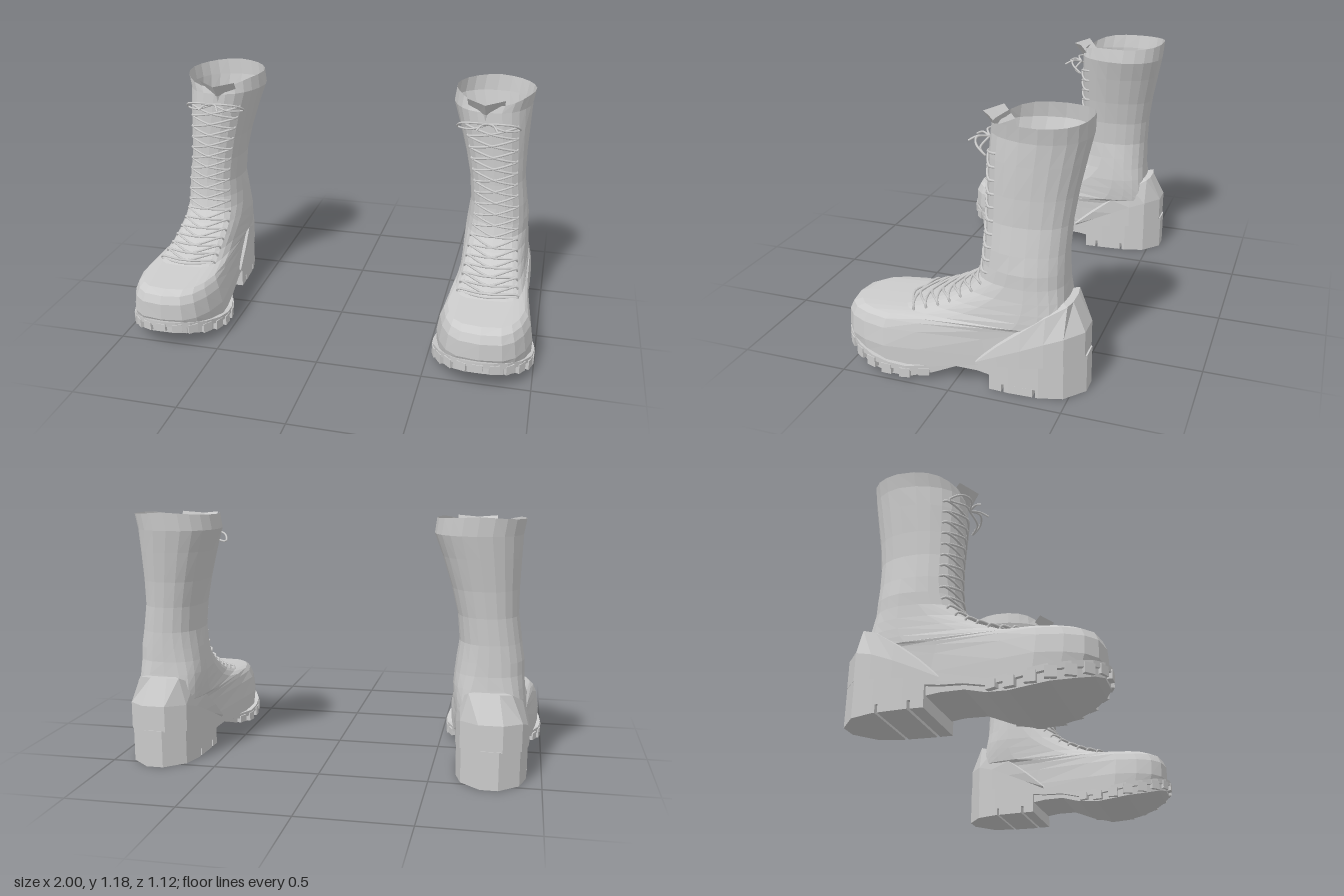
import * as THREE from 'three';

const V = (x, y, z) => new THREE.Vector3(x, y, z);
const material = new THREE.MeshStandardMaterial({ color: 0xcccccc, flatShading: true, side: THREE.DoubleSide });
const laceMaterial = new THREE.MeshStandardMaterial({ color: 0xcccccc });

// Linear lookup in rows sorted by their first column
function lookup(table, k) {
  let i = 0;
  while (i < table.length - 2 && k > table[i + 1][0]) i++;
  const a = table[i], b = table[i + 1];
  const f = THREE.MathUtils.clamp((k - a[0]) / (b[0] - a[0]), 0, 1);
  return a.map((v, n) => v + (b[n] - v) * f);
}

// Surface through rows of points
function loft(name, rows, { closed = true, caps = false } = {}) {
  const n = rows[0].length, pos = [], idx = [];
  rows.forEach(r => r.forEach(p => pos.push(p.x, p.y, p.z)));
  for (let i = 0; i < rows.length - 1; i++) {
    for (let j = 0; j < (closed ? n : n - 1); j++) {
      const k = (j + 1) % n, a = i * n + j, b = i * n + k;
      idx.push(a, b, b + n, a, b + n, a + n);
    }
  }
  if (caps) {
    const e = (rows.length - 1) * n;
    for (let j = 1; j < n - 1; j++) idx.push(0, j + 1, j, e, e + j, e + j + 1);
  }
  const g = new THREE.BufferGeometry();
  g.setAttribute('position', new THREE.Float32BufferAttribute(pos, 3));
  g.setIndex(idx);
  const flat = g.toNonIndexed();
  flat.computeVertexNormals();
  const mesh = new THREE.Mesh(flat, material);
  mesh.name = name;
  return mesh;
}

// Sole: z, half width
const OUTLINE = [[-0.557, 0.04], [-0.48, 0.13], [-0.38, 0.158], [-0.25, 0.165], [-0.1, 0.163], [0, 0.166],
  [0.1, 0.195], [0.2, 0.23], [0.28, 0.238], [0.36, 0.228], [0.44, 0.19], [0.51, 0.13], [0.545, 0.07], [0.558, 0.02]];
// Sole: z, top height, bottom height
const HEIGHTS = [[-0.56, 0.175, 0], [-0.1, 0.115, 0.065], [0, 0.11, 0.065], [0.1, 0.078, 0.03],
  [0.2, 0.072, 0.012], [0.3, 0.085, 0.02], [0.45, 0.115, 0.05], [0.56, 0.148, 0.09]];
const halfWidth = z => lookup(OUTLINE, z)[1];
const soleTop = z => lookup(HEIGHTS, z)[1];
const soleBottom = z => lookup(HEIGHTS, z)[2];
// Centre line, turning slightly outwards at the heel
const centre = z => lookup([[-0.3, 0.772], [0, 0.76]], z)[1];

// Slice of the sole outline between z0 and z1
function slab(name, z0, z1, top, bottom, inset = 0) {
  const zs = [z0, ...OUTLINE.map(o => o[0]).filter(z => z > z0 + 0.004 && z < z1 - 0.004), z1];
  return loft(name, zs.map(z => {
    const w = Math.max(halfWidth(z) - inset, 0.01), t = top(z), b = bottom(z), c = centre(z);
    return [V(c + w, t, z), V(c - w, t, z), V(c - w, b, z), V(c + w, b, z)];
  }), { caps: true });
}

// Upper: y, back z, front z, centre x, half widths at back, middle and front, squareness
const UPPER = [
  [0.06, -0.53, 0.53, 0.762, 0.16, 0.162, 0.236, 3],
  [0.15, -0.53, 0.542, 0.762, 0.16, 0.163, 0.238, 3],
  [0.23, -0.51, 0.541, 0.762, 0.16, 0.164, 0.224, 3],
  [0.268, -0.49, 0.524, 0.762, 0.16, 0.166, 0.208, 3],
  [0.286, -0.48, 0.48, 0.76, 0.16, 0.168, 0.19, 3.3],
  [0.3, -0.475, 0.255, 0.758, 0.16, 0.17, 0.165, 4.4],
  [0.33, -0.47, 0.15, 0.756, 0.16, 0.168, 0.152, 4.2],
  [0.37, -0.465, 0.06, 0.753, 0.16, 0.166, 0.148, 3.8],
  [0.42, -0.46, -0.02, 0.75, 0.159, 0.163, 0.145, 3.2],
  [0.48, -0.455, -0.072, 0.75, 0.156, 0.157, 0.143, 2.6],
  [0.54, -0.455, -0.088, 0.753, 0.152, 0.153, 0.142, 2.4],
  [0.62, -0.455, -0.095, 0.752, 0.14, 0.14, 0.138, 2.3],
  [0.74, -0.462, -0.1, 0.738, 0.136, 0.136, 0.136, 2.3],
  [0.86, -0.478, -0.1, 0.724, 0.15, 0.15, 0.146, 2.3],
  [1.0, -0.505, -0.1, 0.705, 0.174, 0.174, 0.163, 2.3],
  [1.1, -0.525, -0.105, 0.689, 0.194, 0.194, 0.175, 2.3],
  [1.183, -0.53, -0.115, 0.7, 0.195, 0.195, 0.18, 2.3],
];

// Point on the upper at height y; the angle starts at the front
function onUpper(y, angle) {
  const [, zb, zf, xc, wb, wm, wf, p] = lookup(UPPER, y);
  const s = Math.sin(angle), c = Math.cos(angle);
  const u = Math.sign(c) * Math.abs(c) ** (2 / p);
  const z = (zb + zf) / 2 + u * (zf - zb) / 2;
  const w = lookup([[0.1, wb], [0.45, wm], [0.78, wf]], (u + 1) / 2)[1];
  const rim = y > 1.15 ? 0.015 * Math.abs(s) + 0.05 * Math.max(c, 0) ** 3 : 0;
  return V(xc + w * Math.sign(s) * Math.abs(s) ** (2 / p), Math.max(y, soleTop(z) - 0.01) - rim, z);
}

function tube(name, points, radius = 0.0055) {
  const curve = new THREE.CatmullRomCurve3(points);
  const mesh = new THREE.Mesh(new THREE.TubeGeometry(curve, points.length * 5, radius, 6), laceMaterial);
  mesh.name = name;
  return mesh;
}

function buildSole() {
  const g = new THREE.Group();
  g.name = 'sole';
  const weltBottom = z => Math.max(soleTop(z) - 0.026, soleBottom(z) + 0.012);
  g.add(slab('welt', -0.16, 0.558, soleTop, weltBottom));
  g.add(slab('outsole', -0.16, 0.54, z => weltBottom(z) + 0.004, soleBottom, 0.018));
  // Lugs around the front edge
  const half = OUTLINE.filter(o => o[0] >= 0.1).map(([z, w]) => V(w, 0, z));
  const edge = new THREE.CatmullRomCurve3([...half, ...half.map(p => V(-p.x, 0, p.z)).reverse()]);
  const count = 15;
  for (let i = 0; i < count; i++) {
    const t = (i + 0.5) / count, p = edge.getPointAt(t), d = edge.getTangentAt(t);
    const top = soleTop(p.z) - 0.012, bottom = soleBottom(p.z) + 0.006;
    const lug = new THREE.Mesh(new THREE.BoxGeometry(0.047, top - bottom, 0.034), material);
    lug.name = 'lug';
    lug.position.set(centre(p.z) + p.x - 0.015 * Math.sign(p.x) * Math.abs(d.z), (top + bottom) / 2,
      p.z - 0.015 * Math.abs(d.x));
    lug.rotation.y = Math.atan2(-d.z, d.x);
    g.add(lug);
  }
  // Heel block with two grooves underneath
  g.add(slab('heel', -0.557, -0.16, soleTop, () => 0.036));
  for (const [a, b] of [[-0.557, -0.366], [-0.354, -0.228], [-0.215, -0.16]]) {
    g.add(slab('heelTread', a, b, () => 0.037, () => 0));
  }
  return g;
}

// Sloping reinforcement around the back of the foot
function buildHeelCounter() {
  // z, top height, half width at top
  const side = [[-0.1, 0.13, 0.17], [-0.2, 0.215, 0.17], [-0.3, 0.295, 0.163], [-0.4, 0.37, 0.14],
    [-0.48, 0.412, 0.095], [-0.55, 0.412, 0.04]];
  const path = [...side.map(s => [...s, 1]), ...side.map(s => [...s, -1]).reverse()];
  const row = (f, top, lip) => path.map(([z, h, w, s]) => {
    const b = soleTop(z) - 0.005, wide = halfWidth(z) + 0.006;
    return V(centre(z) - (top ? 0.008 : 0) + s * (top ? w - lip : wide), b + (h - b) * f,
      top ? Math.max(z, -0.49) + lip : z);
  });
  return loft('heelCounter', [row(0), row(0.5), row(1, true, 0), row(1, true, 0.03)], { closed: false });
}

function buildLaces() {
  const g = new THREE.Group();
  g.name = 'laces';
  const count = 16;
  const line = angle => {
    const pts = [];
    for (let y = 0.302; y < 1.05; y += 0.025) pts.push(onUpper(y, angle));
    return new THREE.CatmullRomCurve3(pts);
  };
  const left = line(0.8), right = line(-0.8), mid = line(0);
  const lift = (curve, t, d) => {
    const k = mid.getTangentAt(t);
    return curve.getPointAt(t).add(V(0, -k.z * d, k.y * d));
  };
  for (let i = 0; i < count; i++) {
    const a = i / count, b = (i + 1) / count;
    for (const [p, q] of [[left, right], [right, left]]) {
      g.add(tube('lace', [lift(p, a, -0.008), lift(p, a, 0.014), lift(mid, (a + b) / 2, 0.009),
        lift(q, b, 0.014), lift(q, b, -0.008)]));
    }
  }
  g.add(tube('bottomLace', [lift(left, 0, 0), lift(mid, 0, 0.012), lift(right, 0, 0)]));
  // Bow
  const k = V(0.69, 1.05, -0.085);
  const at = (x, y, z) => k.clone().add(V(x, y, z));
  for (const s of [-1, 1]) {
    g.add(tube('bowLoop', [k, at(s * 0.06, 0.012, 0.03), at(s * 0.13, 0, 0.005), at(s * 0.15, -0.03, -0.04),
      at(s * 0.08, -0.025, 0.01), k], 0.005));
    g.add(tube('laceEnd', [k, at(s * 0.03, 0.005, 0.04), at(s * 0.05, -0.012, 0.075)], 0.005));
  }
  return g;
}

function buildBoot() {
  const boot = new THREE.Group();
  const sides = 22;
  const ring = y => Array.from({ length: sides }, (_, j) => onUpper(y, (j / sides) * Math.PI * 2));
  boot.add(loft('upper', UPPER.map(r => ring(r[0]))));
  // Folded tongue standing out of the shaft
  boot.add(loft('tongue', [[1.0, -0.118, 0.08], [1.09, -0.1, 0.085], [1.15, -0.05, 0.09]]
    .map(([y, z, w]) => [-1, -0.5, 0, 0.5, 1].map(s =>
      V(0.672 + s * w, y + 0.012 * Math.abs(s), z - 0.06 * Math.abs(s)))), { closed: false }));
  boot.add(slab('insole', -0.5, 0.1, () => 0.19, () => 0.17, 0.045));
  boot.add(buildSole(), buildHeelCounter(), buildLaces());
  return boot;
}

export function createModel() {
  const model = new THREE.Group();
  model.name = 'bootPair';
  const left = buildBoot();
  left.name = 'leftBoot';
  const right = left.clone();
  right.name = 'rightBoot';
  right.scale.x = -1;
  model.add(left, right);
  return model;
}
